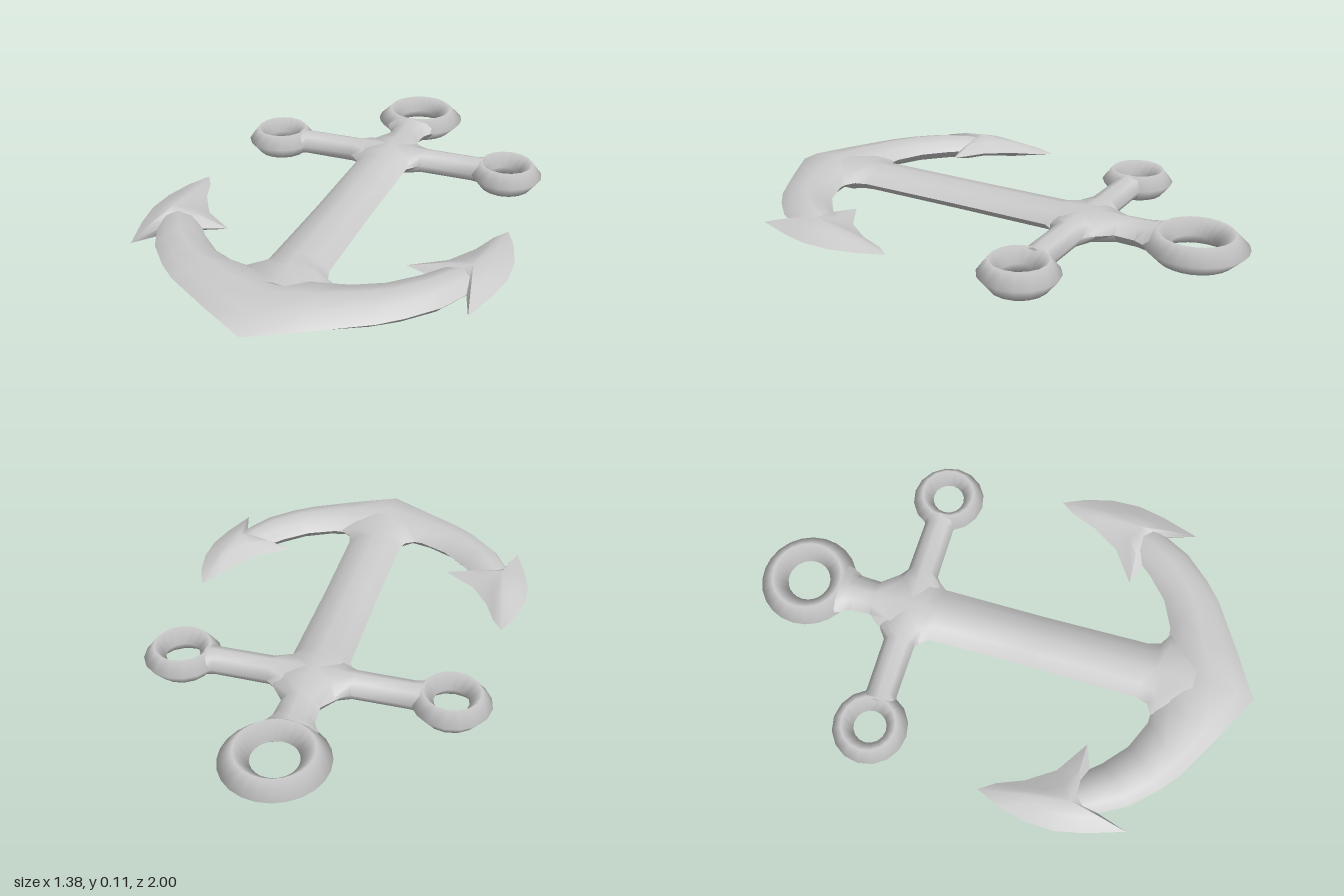
import * as THREE from 'three';
import { toCreasedNormals } from 'three/addons/utils/BufferGeometryUtils.js';

const MID = 0.056; // height of the flat symmetry plane
const H = 0.052;   // half thickness
const material = new THREE.MeshStandardMaterial({ color: 0xcccccc });

// Bevelled cross-section: [across, up], from edge A over the top to edge B and back below
const SECTION = [[1, 0], [0.6, 0.72], [0, 1], [-0.6, 0.72], [-1, 0], [-0.6, -0.72], [0, -1], [0.6, -0.72]];

function finish(positions, index, crease = 1) {
  const g = new THREE.BufferGeometry();
  g.setAttribute('position', new THREE.Float32BufferAttribute(positions, 3));
  g.setIndex(index);
  return toCreasedNormals(g, crease);
}

// Loft through stations { a: [x, z], b: [x, z], h } given by their two outline edges
function loft(stations) {
  const pos = [], idx = [], n = SECTION.length, last = stations.length - 1;
  for (const { a, b, h = H } of stations) {
    for (const [s, u] of SECTION) {
      const t = (1 - s) / 2;
      pos.push(a[0] + (b[0] - a[0]) * t, MID + u * h, a[1] + (b[1] - a[1]) * t);
    }
  }
  for (let i = 0; i < last; i++) {
    for (let k = 0; k < n; k++) {
      const p = i * n + k, q = i * n + (k + 1) % n;
      idx.push(p, q, p + n, q, q + n, p + n);
    }
  }
  for (let k = 1; k < n - 1; k++) {
    idx.push(0, k + 1, k);
    idx.push(last * n, last * n + k, last * n + k + 1);
  }
  return finish(pos, idx, 1.3);
}

// Pointed blade: outline rising through one inner ring to an apex above and below
function blade(outline, apex, h) {
  const pos = [], idx = [], n = outline.length;
  for (const side of [1, -1]) {
    const base = pos.length / 3;
    for (const [t, y] of [[0, 0], [0.5, 0.64]]) {
      for (const [x, z] of outline) {
        pos.push(x + (apex[0] - x) * t, MID + side * y * h, z + (apex[1] - z) * t);
      }
    }
    pos.push(apex[0], MID + side * h, apex[1]);
    const tri = (a, b, c) => (side > 0 ? idx.push(base + a, base + b, base + c) : idx.push(base + a, base + c, base + b));
    for (let k = 0; k < n; k++) {
      const m = (k + 1) % n;
      tri(k, m, n + k);
      tri(m, n + m, n + k);
      tri(n + k, n + m, 2 * n);
    }
  }
  return finish(pos, idx, 0.9);
}

export function createModel() {
  const model = new THREE.Group();
  const add = (name, geometry, x = 0, y = 0, z = 0) => {
    const mesh = new THREE.Mesh(geometry, material);
    mesh.name = name;
    mesh.position.set(x, y, z);
    model.add(mesh);
    return mesh;
  };
  const ring = (name, x, z, radius, tube, sides) => {
    const g = new THREE.TorusGeometry(radius, tube, 4, sides);
    g.rotateX(-Math.PI / 2);
    g.scale(1, H / tube, 1);
    add(name, g, x, MID, z);
  };

  // Shank with the crossing hub and the fillets at both ends: [z, half width, half thickness]
  const shank = [
    [-0.67, 0.12, H], [-0.645, 0.095, H], [-0.61, 0.076, H], [-0.53, 0.072, H],
    [-0.44, 0.145, 0.056], [-0.32, 0.15, 0.056], [-0.27, 0.11, H], [0.15, 0.108, H],
    [0.56, 0.113, H], [0.61, 0.128, H], [0.64, 0.18, 0.05], [0.76, 0.19, 0.05],
  ];
  add('shank', loft(shank.map(([z, w, h]) => ({ a: [w, z], b: [-w, z], h }))));
  ring('topRing', 0, -0.81, 0.137, 0.053, 24);

  // Crossbar, running through the hub: [x, half width]
  const half = [[0, 0.12], [0.1, 0.105], [0.155, 0.062], [0.37, 0.06], [0.41, 0.078]];
  const bar = [...half.slice(1).reverse().map(([x, w]) => [-x, w]), ...half];
  add('crossbar', loft(bar.map(([x, w]) => ({ a: [x, -0.38 - w], b: [x, -0.38 + w] }))));

  // Curved arms meeting in the pointed crown: [inner edge, outer edge]
  const arm = [
    [[0, 0.63], [0, 1]], [[0.11, 0.635], [0.18, 0.9]], [[0.2, 0.63], [0.365, 0.79]],
    [[0.31, 0.58], [0.44, 0.727]], [[0.4, 0.5], [0.53, 0.63]], [[0.45, 0.44], [0.6, 0.5]],
    [[0.5, 0.38], [0.63, 0.42]],
  ].map(([a, b], i) => ({ a, b, h: [H, H, H, H, H, 0.047, 0.03][i] }));
  const flip = ([x, z]) => [-x, z];
  const mirrored = arm.slice(1).reverse().map(({ a, b, h }) => ({ a: flip(a), b: flip(b), h }));
  add('arms', loft([...mirrored, ...arm]));

  // Barbed fluke outline, counter-clockwise seen from above on the +x side
  const fluke = [
    [0.62, 0.08], [0.58, 0.14], [0.54, 0.24], [0.47, 0.345], [0.344, 0.43], [0.43, 0.46],
    [0.577, 0.51], [0.62, 0.645], [0.667, 0.5], [0.69, 0.39], [0.687, 0.28], [0.66, 0.17],
  ];
  for (const [side, s] of [['left', 1], ['right', -1]]) {
    ring(side + 'BarRing', s * 0.505, -0.38, 0.104, 0.041, 16);
    const outline = s > 0 ? fluke : fluke.map(flip).reverse();
    add(side + 'Fluke', blade(outline, [s * 0.575, 0.42], 0.05));
  }
  return model;
}
